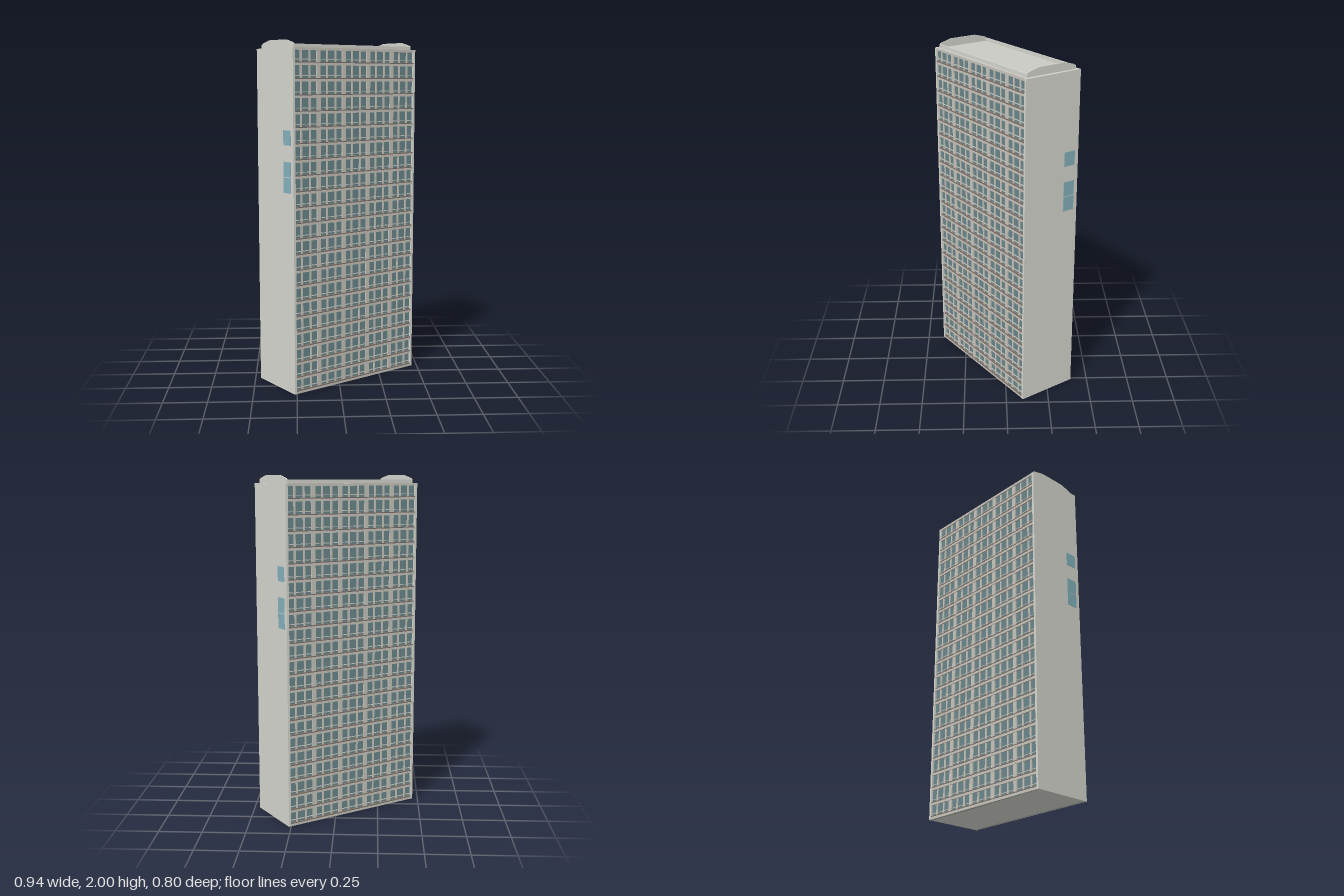
import * as THREE from 'three';

const L = 0.885, W = 0.366, H = 1.955;   // tower length, depth, wall height
const FLOORS = 22, BAYS = 5, PANES = 3;

const mat = (name, color) => {
  const m = new THREE.MeshStandardMaterial({ color });
  m.name = name;
  return m;
};

export function createModel() {
  const concrete = mat('concrete', 0xd4d6ce);
  const roofGrey = mat('roof grey', 0xc9cac4);
  const frame = mat('facade frame', 0xc6c4bb);
  const glass = mat('facade glass', 0x69868a);
  const rail = mat('brown rail', 0x7d6e66);
  const paleGlass = mat('pale blue glass', 0x84b0bb);

  const model = new THREE.Group();
  model.name = 'apartmentTower';
  const tower = new THREE.Group();
  tower.name = 'tower';
  tower.rotation.y = 0.6;
  model.add(tower);

  // box from its size and centre
  const box = (parent, name, material, w, h, d, x, y, z) => {
    const m = new THREE.Mesh(new THREE.BoxGeometry(w, h, d), material);
    m.name = name;
    m.position.set(x, y, z);
    parent.add(m);
    return m;
  };

  // core with blank end walls
  box(tower, 'core', concrete, L - 0.02, H - 0.01, W - 0.03, 0, (H - 0.01) / 2, 0);
  for (const s of [-1, 1]) {
    box(tower, 'endWall', concrete, 0.014, H, W, s * (L / 2 - 0.007), H / 2, 0);
  }

  // one long facade, built facing +z and turned for the back
  const makeFacade = () => {
    const f = new THREE.Group();
    f.name = 'facade';
    const inner = L - 0.028, z0 = W / 2 - 0.015, floorH = H / FLOORS, bayW = L / BAYS;
    box(f, 'glazing', glass, inner, H - 0.01, 0.006, 0, H / 2 - 0.005, z0);

    // wide pillars between bays and thin mullions within them
    for (let i = 0; i < BAYS * PANES; i++) {
      if (i === 0) continue;
      const x = -L / 2 + (i * bayW) / PANES;
      const pillar = i % PANES === 0;
      box(f, pillar ? 'pillar' : 'mullion', frame,
        pillar ? 0.026 : 0.011, H - 0.01, pillar ? 0.012 : 0.008, x, H / 2 - 0.005, z0 + 0.004);
    }

    // floor slabs with a brown edge and a slim transom above
    for (let i = 0; i <= FLOORS; i++) {
      const y = Math.min(Math.max(i * floorH, 0.007), H - 0.007);
      box(f, 'floorSlab', frame, inner, 0.014, 0.014, 0, y, z0 + 0.007);
      if (i < FLOORS) {
        box(f, 'slabRail', rail, inner, 0.005, 0.015, 0, y + 0.0095, z0 + 0.0075);
        box(f, 'transom', frame, inner, 0.004, 0.008, 0, y + 0.026, z0 + 0.004);
      }
    }
    return f;
  };
  const front = makeFacade(), back = makeFacade();
  front.name = 'frontFacade';
  back.name = 'backFacade';
  back.rotation.y = Math.PI;
  tower.add(front, back);

  // flat roof with a low inset parapet
  box(tower, 'roofDeck', roofGrey, L - 0.004, 0.012, W - 0.004, 0, H - 0.006, 0);
  for (const s of [-1, 1]) {
    box(tower, 'longParapet', concrete, L - 0.04, 0.02, 0.007, 0, H + 0.01, s * (W / 2 - 0.0235));
  }

  // raised end parapets with sloping shoulders
  const gable = new THREE.Shape([
    [-0.163, H], [0.163, H], [0.163, 1.975], [0.15, 1.983], [0.092, 1.998], [0.08, 2],
    [-0.08, 2], [-0.092, 1.998], [-0.15, 1.983], [-0.163, 1.975],
  ].map(([a, b]) => new THREE.Vector2(a, b)));
  const gableGeo = new THREE.ExtrudeGeometry(gable, { depth: 0.007, bevelEnabled: false });
  gableGeo.translate(0, 0, -0.0035);
  for (const s of [-1, 1]) {
    const g = new THREE.Mesh(gableGeo, concrete);
    g.name = 'endParapet';
    g.rotation.y = Math.PI / 2;
    g.position.x = s * (L / 2 - 0.0235);
    tower.add(g);
  }

  // small window panes near one edge of each end wall
  for (const s of [-1, 1]) {
    for (const [y0, y1] of [[1.153, 1.239], [1.243, 1.328], [1.42, 1.503]]) {
      box(tower, 'endWindow', paleGlass, 0.004, y1 - y0, 0.072,
        s * (L / 2), (y0 + y1) / 2, -s * 0.122);
    }
  }

  return model;
}
